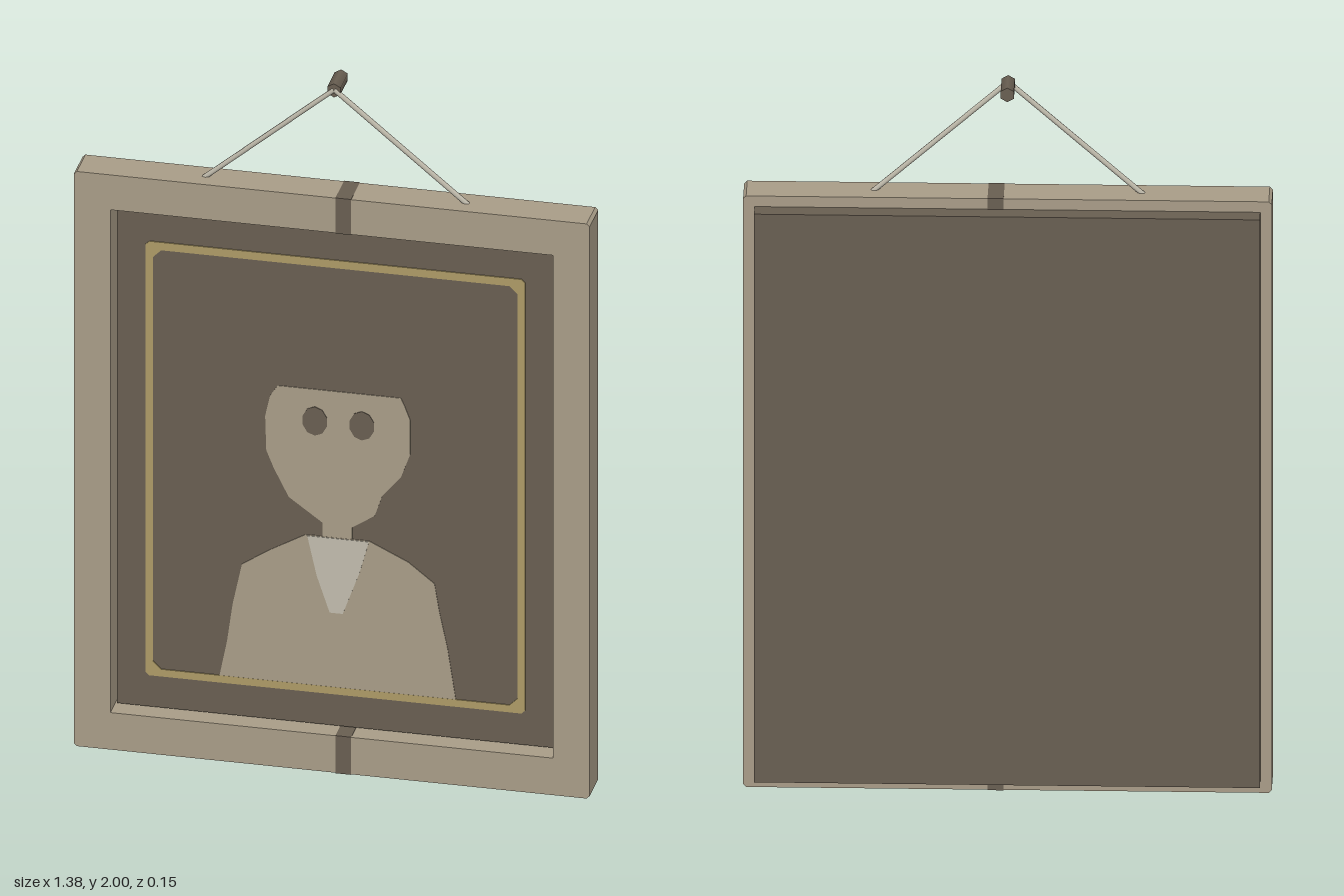
import * as THREE from 'three';

const mat = (name, color) => Object.assign(new THREE.MeshStandardMaterial({ color }), { name });

export function createModel() {
  const wood = mat('pale wood', 0xa89c87);
  const dark = mat('dark brown', 0x685e51);
  const gold = mat('dull gold', 0xac9a66);
  const pale = mat('pale linen', 0xc0bbac);
  const model = new THREE.Group();
  model.name = 'hangingPortrait';

  const add = (name, geometry, material, x = 0, y = 0, z = 0) => {
    const mesh = new THREE.Mesh(geometry, material);
    mesh.name = name;
    mesh.position.set(x, y, z);
    model.add(mesh);
    return mesh;
  };
  const box = (name, material, x0, x1, y0, y1, z0, z1) =>
    add(name, new THREE.BoxGeometry(x1 - x0, y1 - y0, z1 - z0), material,
      (x0 + x1) / 2, (y0 + y1) / 2, (z0 + z1) / 2);
  const toPoints = (list) => list.map(([x, y]) => new THREE.Vector2(x, y));
  // Rectangle with its corners cut by c
  const cutRect = (w, y0, y1, c) => toPoints([
    [-w + c, y0], [w - c, y0], [w, y0 + c], [w, y1 - c],
    [w - c, y1], [-w + c, y1], [-w, y1 - c], [-w, y0 + c]]);
  const extrude = (shape, depth) =>
    new THREE.ExtrudeGeometry(shape, { depth, bevelEnabled: false });
  const ring = (outer, inner, depth) => {
    const shape = new THREE.Shape(outer);
    shape.holes.push(new THREE.Path(inner));
    return extrude(shape, depth);
  };

  // Frame, backing board and recessed canvas
  const opening = toPoints([[-0.592, 0.108], [-0.592, 1.578], [0.592, 1.578], [0.592, 0.108]]);
  add('frame', ring(cutRect(0.69, 0, 1.68, 0.008), opening, 0.1), wood, 0, 0, -0.025);
  box('backBoard', dark, -0.66, 0.66, 0.035, 1.65, -0.075, -0.024);
  box('canvas', dark, -0.585, 0.585, 0.115, 1.571, -0.024, 0.03);

  // Dark bands wrapped around the top and bottom rails
  for (const [name, y0, y1] of [['topBand', 1.577, 1.681], ['bottomBand', -0.001, 0.109]])
    box(name, dark, 0.01, 0.052, y0, y1, -0.026, 0.076);

  // Gold border line painted on the canvas
  add('goldBorder', ring(cutRect(0.508, 0.207, 1.476, 0.01),
    cutRect(0.488, 0.228, 1.453, 0.022), 0.003), gold, 0, 0, 0.03);

  // Painted sitter
  const plate = (name, points, material, z) =>
    add(name, extrude(new THREE.Shape(toPoints(points)), 0.002), material, 0, 0, z);
  plate('head', [
    [-0.035, 0.65], [0.045, 0.65], [0.045, 0.7], [0.105, 0.74], [0.125, 0.8], [0.175, 0.86],
    [0.2, 0.93], [0.2, 1.03], [0.185, 1.07], [0.175, 1.092], [-0.155, 1.092], [-0.175, 1.06],
    [-0.188, 1.0], [-0.185, 0.9], [-0.165, 0.85], [-0.125, 0.77], [-0.035, 0.705]], wood, 0.03);
  plate('torso', [
    [-0.31, 0.228], [0.322, 0.228], [0.3, 0.375], [0.278, 0.48], [0.265, 0.56], [0.195, 0.615],
    [0.09, 0.665], [-0.08, 0.665], [-0.175, 0.61], [-0.25, 0.56], [-0.275, 0.44],
    [-0.29, 0.33]], wood, 0.0305);
  plate('collar', [
    [-0.015, 0.445], [0.02, 0.445], [0.065, 0.57], [0.09, 0.663], [-0.075, 0.663],
    [-0.05, 0.55]], pale, 0.032);
  for (const [name, x] of [['rightEye', -0.055], ['leftEye', 0.071]]) {
    const eye = add(name, new THREE.CylinderGeometry(1, 1, 0.003, 10), dark, x, 1.0, 0.0325);
    eye.rotation.x = Math.PI / 2;
    eye.scale.set(0.034, 1, 0.042);
  }

  // Hanging cord, one straight strand per side
  const knot = new THREE.Vector3(0, 1.982, 0.046);
  for (const [name, s] of [['rightCord', -1], ['leftCord', 1]]) {
    const foot = new THREE.Vector3(s * 0.355, 1.674, 0.026);
    add(name, new THREE.TubeGeometry(new THREE.LineCurve3(foot, knot), 1, 0.007, 6), pale);
  }

  // Nail
  const nailGeometry = new THREE.CylinderGeometry(0.02, 0.02, 0.085, 6).rotateX(Math.PI / 2);
  add('nail', nailGeometry, dark, 0, 1.98, 0.006);

  return model;
}
